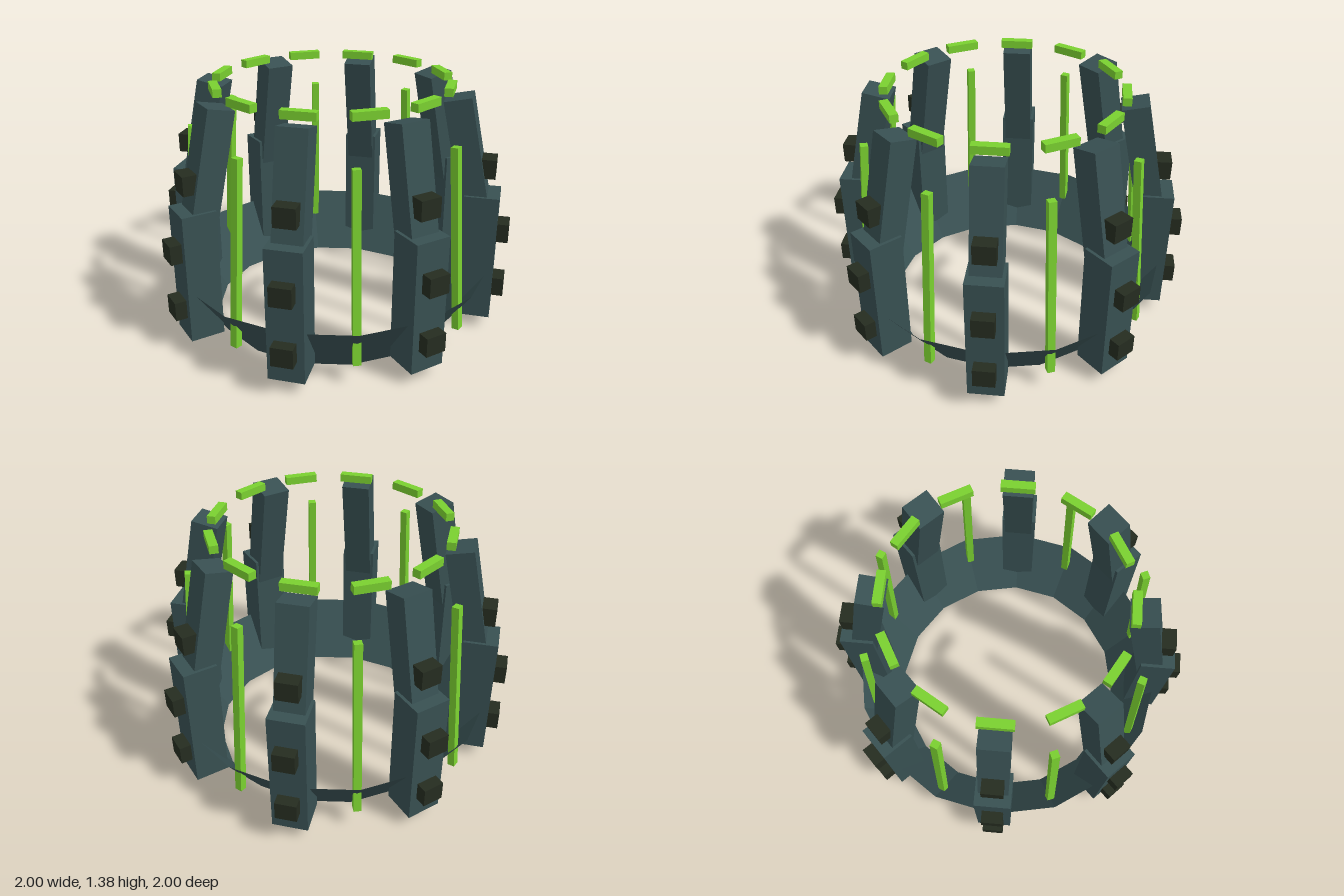
import * as THREE from 'three';

const slate = new THREE.MeshStandardMaterial({ color: 0x385052, flatShading: true, side: THREE.DoubleSide });
slate.name = 'dark slate';
const olive = new THREE.MeshStandardMaterial({ color: 0x252c20 });
olive.name = 'dark olive';
const green = new THREE.MeshStandardMaterial({ color: 0x7ad030 });
green.name = 'bright green';

// Box at height y and distance r from the axis, tilted inward at the top
function block(name, material, [w, h, d], y, r, tilt = 0) {
  const mesh = new THREE.Mesh(new THREE.BoxGeometry(w, h, d), material);
  mesh.name = name;
  mesh.position.set(0, y, r);
  mesh.rotation.x = -tilt;
  return mesh;
}

// Repeat a set of parts evenly around the vertical axis
function around(parent, name, count, offset, build) {
  for (let i = 0; i < count; i++) {
    const group = new THREE.Group();
    group.name = name;
    group.add(...build());
    group.rotation.y = offset + (i / count) * Math.PI * 2;
    parent.add(group);
  }
}

export function createModel() {
  const model = new THREE.Group();
  model.name = 'ringOfPillars';

  // Flared open base band
  const band = new THREE.Mesh(new THREE.CylinderGeometry(0.91, 0.68, 0.333, 16, 1, true), slate);
  band.name = 'baseBand';
  band.position.y = 0.1665;
  model.add(band);

  // Pillars: upright foot, leaning upper part and three studs
  around(model, 'pillar', 8, 0, () => [
    block('pillarFoot', slate, [0.194, 0.727, 0.187], 0.434, 0.843),
    block('pillarTop', slate, [0.16, 0.67, 0.148], 0.992, 0.752, 0.211),
    block('lowerStud', olive, [0.116, 0.106, 0.12], 0.25, 0.94),
    block('middleStud', olive, [0.116, 0.106, 0.12], 0.583, 0.94),
    block('upperStud', olive, [0.116, 0.106, 0.12], 0.947, 0.844),
  ]);

  // Slim glowing rods between the pillars
  around(model, 'rod', 8, Math.PI / 8, () => [
    block('rodBar', green, [0.042, 1.025, 0.04], 0.632, 0.802, 0.075),
  ]);

  // Broken ring of short bars at the top
  around(model, 'crown', 12, 0, () => [
    block('crownBar', green, [0.182, 0.044, 0.047], 1.359, 0.635),
  ]);

  return model;
}
